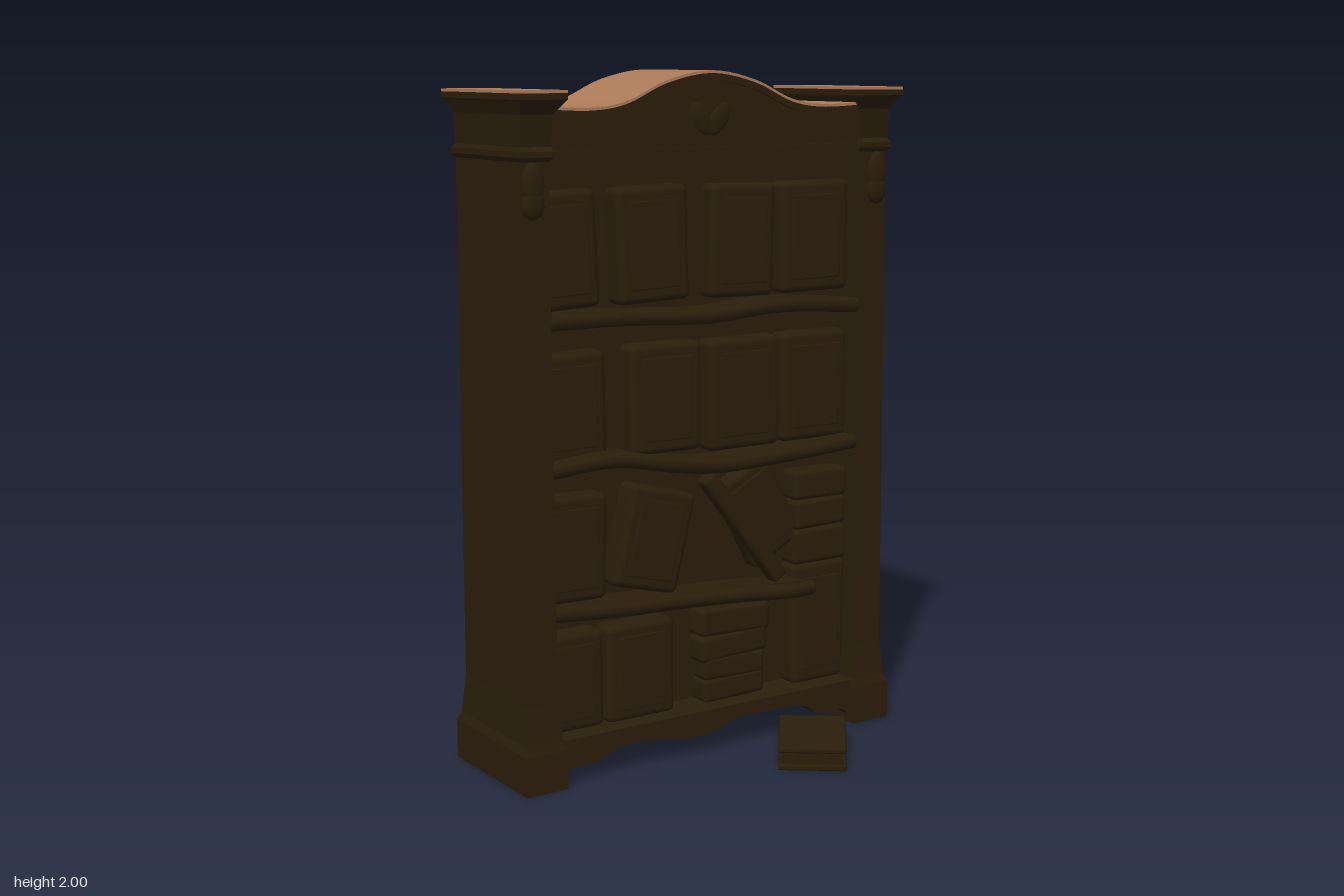
import * as THREE from 'three';
import { RoundedBoxGeometry } from 'three/addons/geometries/RoundedBoxGeometry.js';

const darkWood = new THREE.MeshStandardMaterial({ color: 0x2a1d0a });
darkWood.name = 'dark wood';
const paleWood = new THREE.MeshStandardMaterial({ color: 0xab7a59 });
paleWood.name = 'pale wood';

// Smooth curve through [x, y] points
const curve = (pts, n = 40) =>
  new THREE.SplineCurve(pts.map(p => new THREE.Vector2(...p))).getPoints(n);

// Outline between an upper and a lower curve, extruded from z0 to z1
function slab(upper, lower, z0, z1) {
  const shape = new THREE.Shape([...lower, ...upper.slice().reverse()]);
  const geo = new THREE.ExtrudeGeometry(shape, { depth: z1 - z0, bevelEnabled: false });
  return geo.translate(0, 0, z0);
}

// Stack of rectangles [y, x0, x1, z0, z1] with flat faces between
function loft(rows) {
  const pos = [];
  const ring = ([y, x0, x1, z0, z1]) => [[x0, y, z1], [x1, y, z1], [x1, y, z0], [x0, y, z0]];
  const quad = (a, b, c, d) => pos.push(...a, ...b, ...c, ...a, ...c, ...d);
  for (let i = 0; i < rows.length - 1; i++) {
    const a = ring(rows[i]), b = ring(rows[i + 1]);
    for (let k = 0; k < 4; k++) quad(a[k], a[(k + 1) % 4], b[(k + 1) % 4], b[k]);
  }
  const bottom = ring(rows[0]), top = ring(rows[rows.length - 1]);
  quad(...bottom.reverse());
  quad(...top);
  const geo = new THREE.BufferGeometry();
  geo.setAttribute('position', new THREE.Float32BufferAttribute(pos, 3));
  geo.computeVertexNormals();
  return geo;
}

export function createModel() {
  const group = new THREE.Group();
  const add = (name, geo, mat = darkWood, parent = group) => {
    const m = new THREE.Mesh(geo, mat);
    m.name = name;
    parent.add(m);
    return m;
  };
  const box = (name, x0, x1, y0, y1, z0, z1, mat) =>
    add(name, new THREE.BoxGeometry(x1 - x0, y1 - y0, z1 - z0), mat)
      .position.set((x0 + x1) / 2, (y0 + y1) / 2, (z0 + z1) / 2);

  // Corner posts with flared feet, mouldings and pale caps
  const post = [
    [0, 0.51, 0.643, -0.37, 0.05], [0.115, 0.51, 0.643, -0.37, 0.05],
    [0.14, 0.52, 0.633, -0.36, 0.042], [0.25, 0.53, 0.622, -0.348, 0.032],
    [1.76, 0.535, 0.62, -0.345, 0.03], [1.772, 0.525, 0.628, -0.355, 0.045],
    [1.788, 0.525, 0.628, -0.355, 0.045], [1.8, 0.53, 0.622, -0.345, 0.032],
    [1.885, 0.525, 0.624, -0.347, 0.038], [1.92, 0.502, 0.64, -0.37, 0.068],
    [1.925, 0.50, 0.645, -0.378, 0.077], [1.942, 0.50, 0.645, -0.378, 0.077],
  ];
  for (const s of [1, -1]) {
    const rows = post.map(([y, a, b, c, d]) => [y, ...(s > 0 ? [a, b] : [-b, -a]), c, d]);
    add('cornerPost', loft(rows));
    const [, x0, x1, z0, z1] = rows[rows.length - 1];
    box('postCap', x0, x1, 1.942, 1.95, z0, z1, paleWood);
    // Carved scroll at the head of each post
    for (const [y, h] of [[1.7, 0.06], [1.65, 0.045]]) {
      const scroll = add('postScroll', new THREE.SphereGeometry(1, 16, 10));
      scroll.scale.set(0.036, h, 0.018);
      scroll.position.set(s * 0.586, y, 0.03);
    }
  }

  // Arched frieze with pale roof
  const arch = curve([[-0.56, 1.9], [-0.4, 1.893], [-0.28, 1.91], [-0.15, 1.965], [0, 1.992],
    [0.15, 1.965], [0.28, 1.91], [0.4, 1.893], [0.56, 1.9]]);
  const shift = (pts, d) => pts.map(p => new THREE.Vector2(p.x, p.y + d));
  const level = (y, x) => [new THREE.Vector2(-x, y), new THREE.Vector2(x, y)];
  add('frieze', slab(arch, level(1.76, 0.56), -0.335, 0.012));
  add('archMoulding', slab(arch, shift(arch, -0.02), -0.337, 0.02));
  add('roof', slab(shift(arch, 0.008), arch, -0.337, 0.02), paleWood);
  box('friezeMoulding', -0.54, 0.54, 1.768, 1.787, -0.342, 0.026);
  box('innerTopRail', -0.54, 0.54, 1.7, 1.77, -0.14, -0.05);

  // Carved crest in the middle of the frieze, front and back
  for (const s of [1, -1]) for (const z of [0.01, -0.334]) {
    const leaf = add('crestLeaf', new THREE.SphereGeometry(1, 16, 10));
    leaf.scale.set(0.03, 0.055, 0.01);
    leaf.position.set(s * 0.03, 1.865, z);
    leaf.rotation.z = -s * 0.6;
  }

  // Solid back with slightly bowed boards
  box('backing', -0.55, 0.55, 0.1, 1.78, -0.325, -0.1);
  const edges = [0.13, 0.45, 0.88, 1.31, 1.765];
  for (let i = 0; i < 4; i++) {
    const h = edges[i + 1] - edges[i];
    const geo = new THREE.PlaneGeometry(1.08, h, 1, 8);
    const p = geo.attributes.position;
    for (let k = 0; k < p.count; k++) p.setZ(k, 0.008 * (0.5 + p.getY(k) / h));
    geo.computeVertexNormals();
    const board = add('backBoard', geo.rotateY(Math.PI));
    board.position.set(0, (edges[i] + edges[i + 1]) / 2, -0.328);
  }

  // Scalloped plinth
  const scallop = curve([[-0.52, 0.015], [-0.48, 0.045], [-0.39, 0.05], [-0.31, 0.08], [-0.2, 0.075],
    [-0.1, 0.06], [0, 0.06], [0.1, 0.09], [0.22, 0.09], [0.34, 0.08], [0.4, 0.045], [0.48, 0.045], [0.52, 0.015]], 60);
  add('plinth', slab(level(0.12, 0.52), scallop, -0.366, 0.02));
  box('plinthMoulding', -0.53, 0.53, 0.115, 0.135, -0.35, 0.028);

  // Sagging shelves: a board with a rounded lip, points [x, y, z]
  const shelves = [
    [[-0.55, 1.32, 0], [-0.3, 1.32, 0.008], [0, 1.305, 0.004], [0.25, 1.32, 0.004], [0.55, 1.3, 0]],
    [[-0.55, 0.905, 0], [-0.32, 0.92, 0.01], [-0.15, 0.89, 0.022], [0.02, 0.865, 0.006], [0.25, 0.87, 0.01], [0.55, 0.885, 0]],
    [[-0.55, 0.5, 0], [-0.3, 0.485, 0.012], [-0.1, 0.478, 0.015], [0.1, 0.468, 0.02], [0.28, 0.457, 0.036], [0.35, 0.455, 0.028]],
  ];
  for (const pts of shelves) {
    const mid = curve(pts.map(p => [p[0], p[1]]));
    add('shelfBoard', slab(shift(mid, 0.018), shift(mid, -0.018), -0.12, 0.005));
    const path = new THREE.CatmullRomCurve3(pts.map(p => new THREE.Vector3(...p)));
    add('shelfLip', new THREE.TubeGeometry(path, 40, 0.023, 10));
    const end = pts[pts.length - 1];
    add('shelfEnd', new THREE.SphereGeometry(0.023, 12, 8)).position.set(...end);
  }

  // Books: [centre x, centre y, width, height, tilt, front z]
  const books = [
    [-0.44, 1.51, 0.21, 0.33, 0.05, -0.045], [-0.16, 1.515, 0.235, 0.33, 0.03, -0.03],
    [0.155, 1.51, 0.225, 0.33, -0.02, -0.04], [0.415, 1.51, 0.25, 0.33, 0.01, -0.04],
    [-0.43, 1.07, 0.23, 0.31, 0.02, -0.04], [-0.118, 1.07, 0.24, 0.32, 0, -0.03],
    [0.16, 1.06, 0.25, 0.33, 0, -0.035], [0.42, 1.06, 0.24, 0.33, 0, -0.04],
    [-0.43, 0.665, 0.22, 0.31, -0.02, -0.035], [-0.165, 0.66, 0.22, 0.3, -0.25, -0.02],
    [-0.44, 0.275, 0.21, 0.29, 0, -0.035], [-0.21, 0.275, 0.23, 0.29, 0, -0.03],
    [0.44, 0.32, 0.2, 0.38, 0, -0.035], [0.23, 0.69, 0.2, 0.3, 0.5, -0.05],
  ];
  for (const [x, y, w, h, tilt, z] of books) {
    const book = new THREE.Group();
    book.name = 'book';
    add('bookBody', new RoundedBoxGeometry(w, h, 0.1, 3, 0.02), darkWood, book).position.z = -0.05;
    add('coverPanel', new RoundedBoxGeometry(w * 0.7, h * 0.76, 0.008, 1, 0.003), darkWood, book);
    book.position.set(x, y, z);
    book.rotation.z = tilt;
    group.add(book);
  }

  // Fallen plank
  const plank = add('fallenPlank', new RoundedBoxGeometry(0.055, 0.43, 0.05, 2, 0.012));
  plank.position.set(0.14, 0.66, -0.025);
  plank.rotation.z = 0.66;

  // Stacks of lying books: [centre x, centre y, width, height, tilt]
  const stacked = [
    [0.125, 0.375, 0.25, 0.085, -0.04], [0.12, 0.3, 0.24, 0.08, 0.05], [0.12, 0.235, 0.22, 0.075, -0.03],
    [0.12, 0.17, 0.22, 0.075, 0.03], [0.44, 0.565, 0.2, 0.11, 0], [0.44, 0.665, 0.19, 0.09, 0.02], [0.44, 0.755, 0.2, 0.09, -0.01],
  ];
  for (const [x, y, w, h, tilt] of stacked) {
    const b = add('stackedBook', new RoundedBoxGeometry(w, h, 0.1, 2, 0.016));
    b.position.set(x, y, -0.08);
    b.rotation.z = tilt;
  }

  // Book lying on the floor
  const floorBook = new THREE.Group();
  floorBook.name = 'floorBook';
  for (const y of [0.009, 0.061])
    add('floorBookCover', new RoundedBoxGeometry(0.2, 0.018, 0.3, 2, 0.006), darkWood, floorBook).position.y = y;
  add('floorBookPages', new THREE.BoxGeometry(0.186, 0.05, 0.286), darkWood, floorBook).position.y = 0.035;
  floorBook.position.set(0.238, 0, 0.2);
  floorBook.rotation.y = -0.645;
  group.add(floorBook);

  return group;
}
